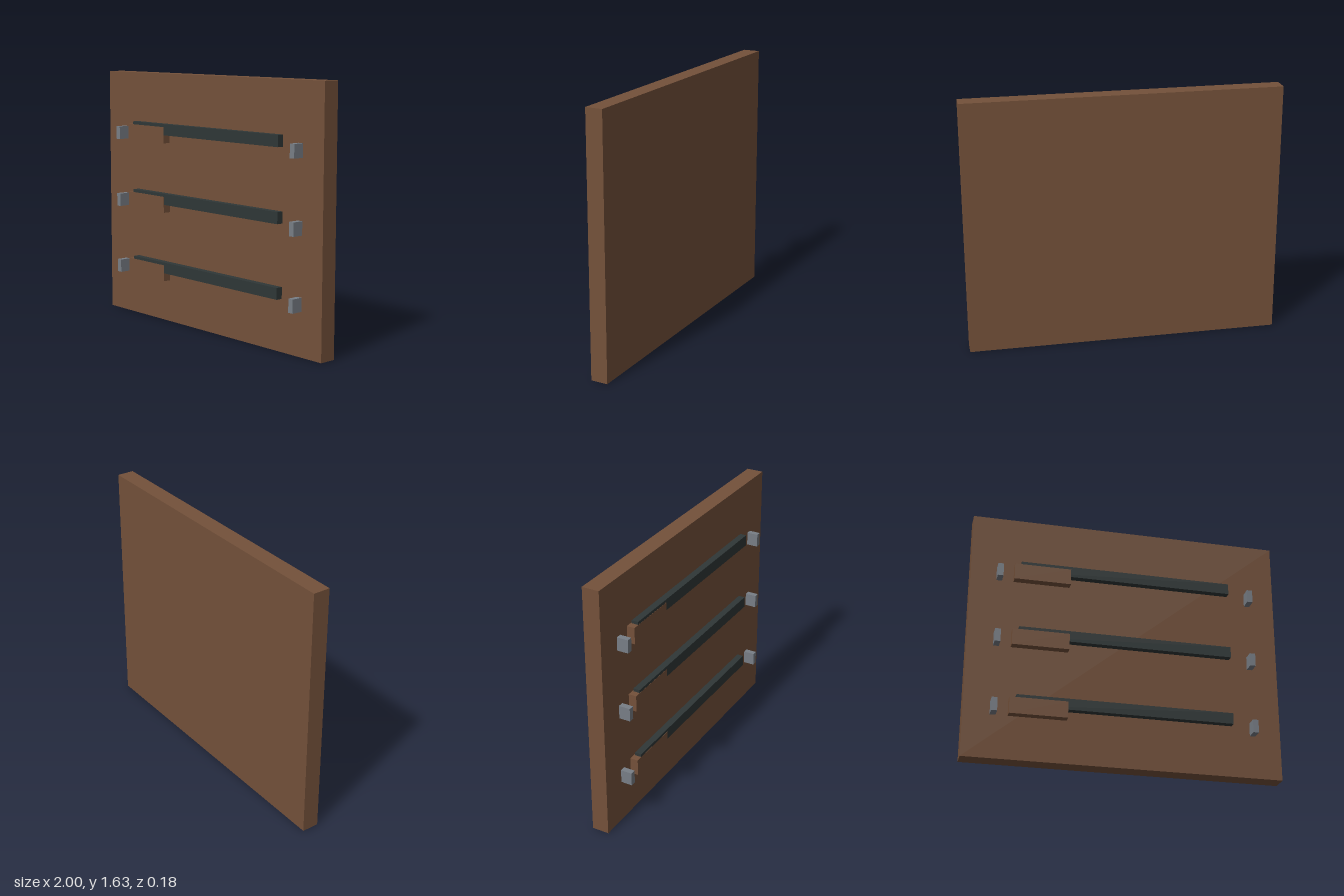
import * as THREE from 'three';

export function createModel() {
  const group = new THREE.Group();
  const wood = new THREE.MeshStandardMaterial({ name: 'brown wood', color: 0x74513a });
  const rail = new THREE.MeshStandardMaterial({ name: 'dark rail', color: 0x2f3737 });
  const metal = new THREE.MeshStandardMaterial({ name: 'grey metal', color: 0x787e86 });

  // Box given by its limits on each axis
  function box(name, material, [x0, x1], [y0, y1], [z0, z1]) {
    const mesh = new THREE.Mesh(new THREE.BoxGeometry(x1 - x0, y1 - y0, z1 - z0), material);
    mesh.position.set((x0 + x1) / 2, (y0 + y1) / 2, (z0 + z1) / 2);
    mesh.name = name;
    group.add(mesh);
  }

  // Back panel
  box('panel', wood, [-1, 1], [0, 1.635], [-0.091, 0.018]);

  // Three rows: a long rail, a wooden block at its right end, a bracket on each side
  for (let row = 0; row < 3; row++) {
    const y = 0.277 + row * 0.455;
    box('rail', rail, [-0.685, 0.68], [y + 0.053, y + 0.125], [0.025, 0.068]);
    box('block', wood, [-0.727, -0.367], [y, y + 0.106], [0.018, 0.069]);
    for (const side of [-1, 1]) {
      const x = side * 0.818;
      box(side < 0 ? 'rightBracket' : 'leftBracket', metal,
        [x - 0.018, x + 0.018], [y, y + 0.085], [0.018, 0.091]);
    }
  }
  return group;
}
